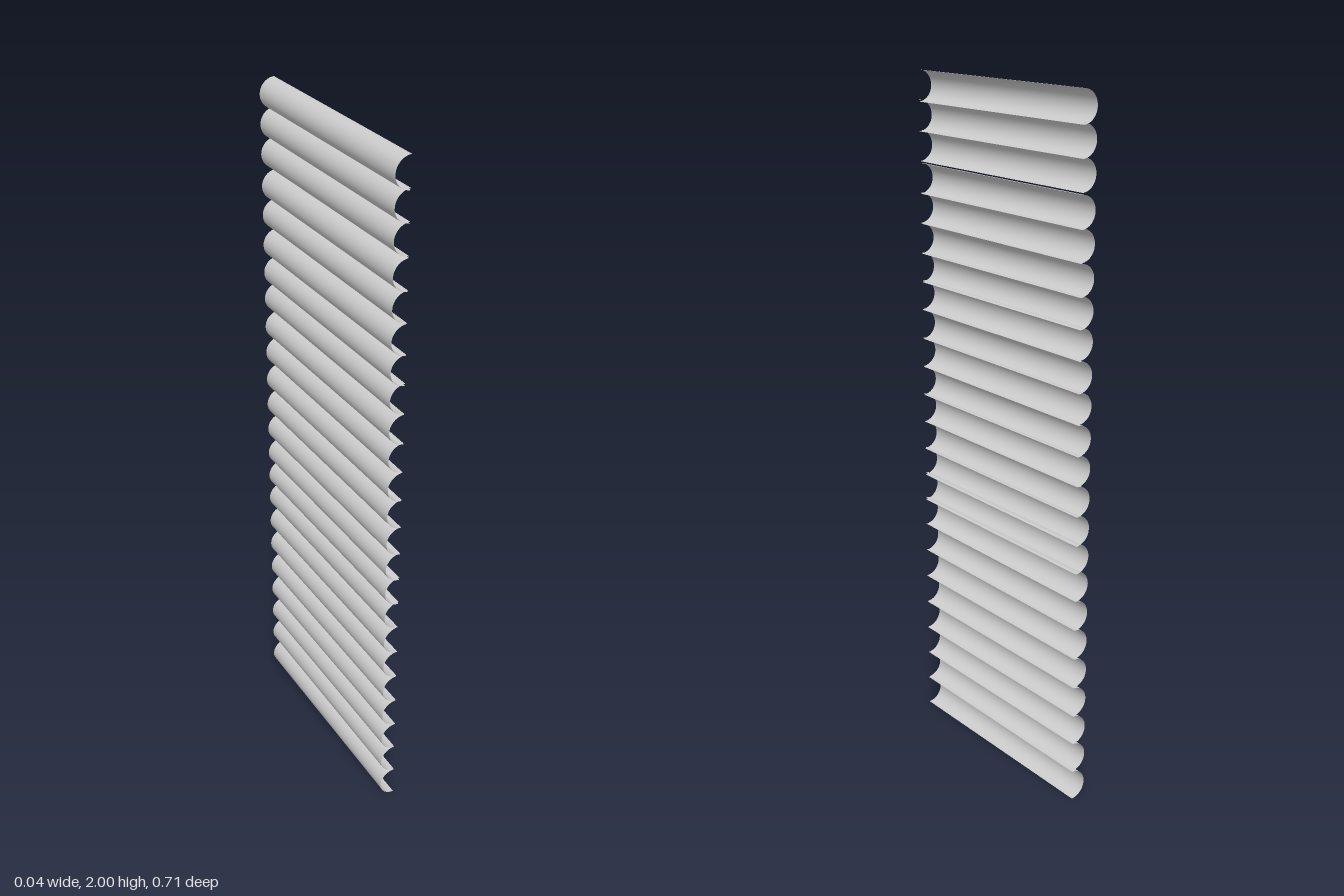
import * as THREE from 'three';

const RADIUS = 0.044;
const LENGTH = 0.714;

// Top edge height of each slat, slightly uneven as if hand-stacked
const SLAT_TOPS = [
  2.0, 1.917, 1.833, 1.74, 1.655, 1.565, 1.48, 1.398, 1.308, 1.223, 1.133, 1.048,
  0.961, 0.876, 0.794, 0.712, 0.624, 0.537, 0.447, 0.357, 0.267, 0.179, 0.088,
];

export function createModel() {
  const group = new THREE.Group();
  group.name = 'slattedPanel';
  const material = new THREE.MeshStandardMaterial({ color: 0xcccccc, side: THREE.DoubleSide });

  // Thin half-round shell lying along z, bulging towards -x and open towards +x
  const slat = new THREE.CylinderGeometry(RADIUS, RADIUS, LENGTH, 32, 1, true, Math.PI, Math.PI);
  slat.rotateX(Math.PI / 2);

  SLAT_TOPS.forEach((top, i) => {
    const mesh = new THREE.Mesh(slat, material);
    mesh.name = `halfRoundSlat${i + 1}`;
    mesh.position.set(RADIUS / 2, top - RADIUS, 0);
    group.add(mesh);
  });
  return group;
}
